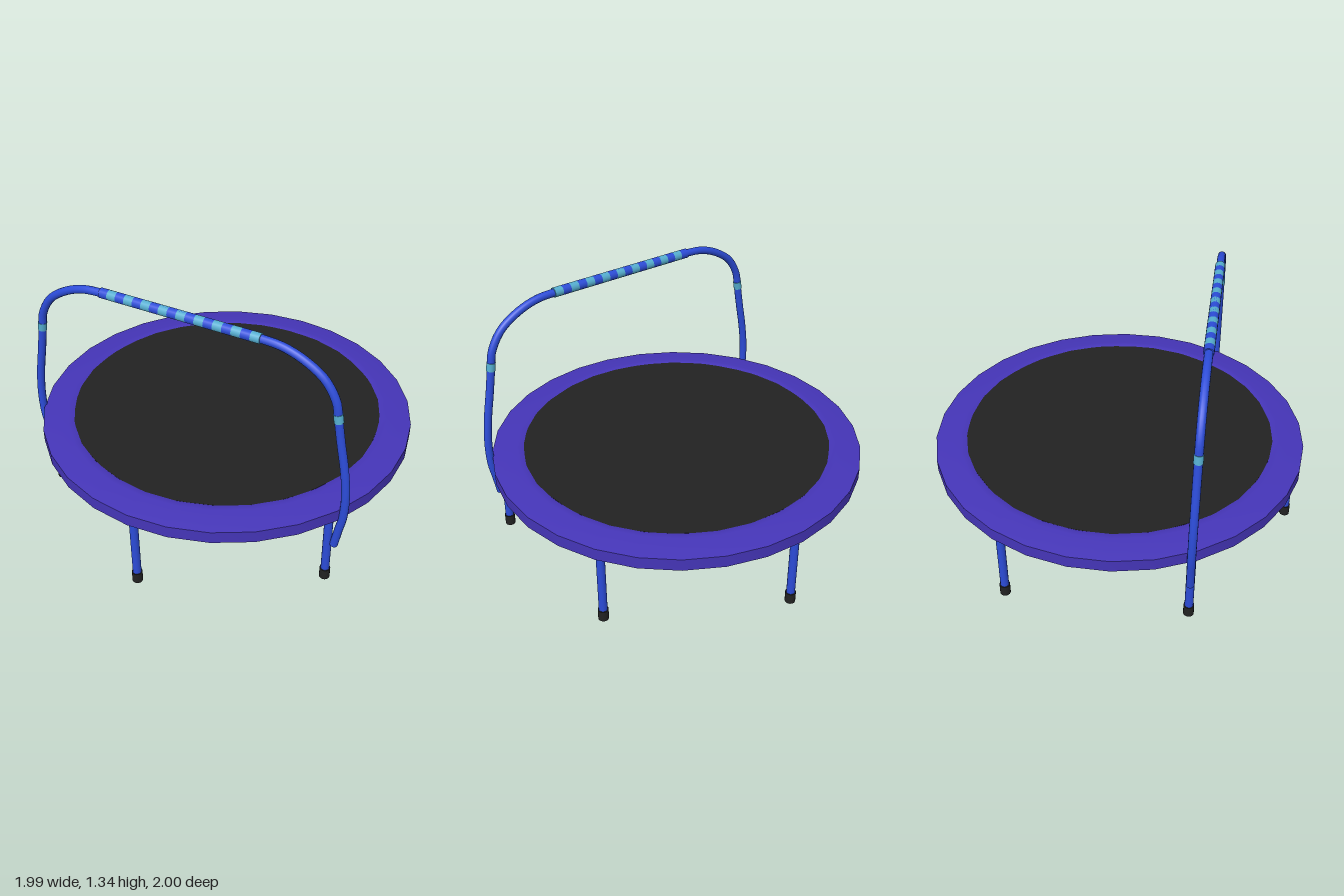
import * as THREE from 'three';
import { toCreasedNormals } from 'three/addons/utils/BufferGeometryUtils.js';

const material = (name, color) => {
  const m = new THREE.MeshStandardMaterial({ color });
  m.name = name;
  return m;
};

export function createModel() {
  const purple = material('purple padding', 0x4535b8);
  const black = material('black mat and rubber', 0x222222);
  const blue = material('blue steel', 0x2c4cd8);
  const cyan = material('light blue trim', 0x55aed0);

  const model = new THREE.Group();
  model.name = 'trampoline';
  const add = (name, geometry, mat, parent = model) => {
    const mesh = new THREE.Mesh(geometry, mat);
    mesh.name = name;
    parent.add(mesh);
    return mesh;
  };

  // Padded rim
  const profile = [
    [0.82, 0.411], [0.85, 0.405], [0.89, 0.405], [1, 0.42],
    [1, 0.485], [0.87, 0.505], [0.845, 0.505], [0.82, 0.496],
  ].map(([r, y]) => new THREE.Vector2(r, y));
  add('rimPad', toCreasedNormals(new THREE.LatheGeometry(profile, 30), 0.5), purple);

  // Jumping mat with a slightly uneven stitched edge
  const mat = new THREE.CylinderGeometry(0.832, 0.838, 0.093, 72);
  const p = mat.attributes.position;
  for (let i = 0; i < p.count; i++) {
    const a = Math.atan2(p.getZ(i), p.getX(i));
    const s = 1 + 0.003 * Math.sin(9 * a) + 0.002 * Math.sin(23 * a + 1);
    p.setX(i, p.getX(i) * s);
    p.setZ(i, p.getZ(i) * s);
  }
  add('jumpingMat', mat, black).position.y = 0.4545;

  // Six legs with rubber feet
  for (let i = 0; i < 6; i++) {
    const a = Math.PI / 6 + (i * Math.PI) / 3;
    const leg = new THREE.Group();
    leg.name = 'leg' + (i + 1);
    leg.position.set(0.947 * Math.cos(a), 0, 0.947 * Math.sin(a));
    add('legTube', new THREE.CylinderGeometry(0.022, 0.022, 0.39, 16), blue, leg).position.y = 0.235;
    add('rubberFoot', new THREE.CylinderGeometry(0.027, 0.027, 0.06, 16), black, leg).position.y = 0.03;
    model.add(leg);
  }

  // Bent handrail, mirrored about the middle
  const handrail = new THREE.Group();
  handrail.name = 'handrail';
  handrail.position.z = 0.475;
  model.add(handrail);
  const side = [
    [0.855, 0.24], [0.872, 0.34], [0.89, 0.44], [0.892, 0.58], [0.876, 0.72],
    [0.848, 0.87], [0.824, 1.01], [0.81, 1.09], [0.75, 1.19], [0.65, 1.26],
    [0.54, 1.3], [0.42, 1.31],
  ];
  const path = [...side, ...side.map(([x, y]) => [-x, y]).reverse()]
    .map(([x, y]) => new THREE.Vector3(x, y, 0));
  const curve = new THREE.CatmullRomCurve3(path);
  add('railTube', new THREE.TubeGeometry(curve, 120, 0.021, 14), blue, handrail);

  for (const s of [-1, 1]) {
    // Tube ends and joint bands
    const cap = add('railEndCap', new THREE.CircleGeometry(0.021, 14), blue, handrail);
    cap.position.set(s * 0.855, 0.24, 0);
    cap.rotation.x = Math.PI / 2;
    const band = add('jointBand', new THREE.CylinderGeometry(0.0235, 0.0235, 0.045, 16), cyan, handrail);
    band.position.set(s * 0.825, 1.01, 0);
    band.rotation.z = s * 0.16;
  }

  // Striped foam grip
  const count = 18, width = 0.864 / count;
  for (let i = 0; i < count; i++) {
    const stripe = add('gripStripe', new THREE.CylinderGeometry(0.026, 0.026, width, 16), i % 2 ? cyan : blue, handrail);
    stripe.rotation.z = Math.PI / 2;
    stripe.position.set(-0.432 + (i + 0.5) * width, 1.31, 0);
  }

  return model;
}
